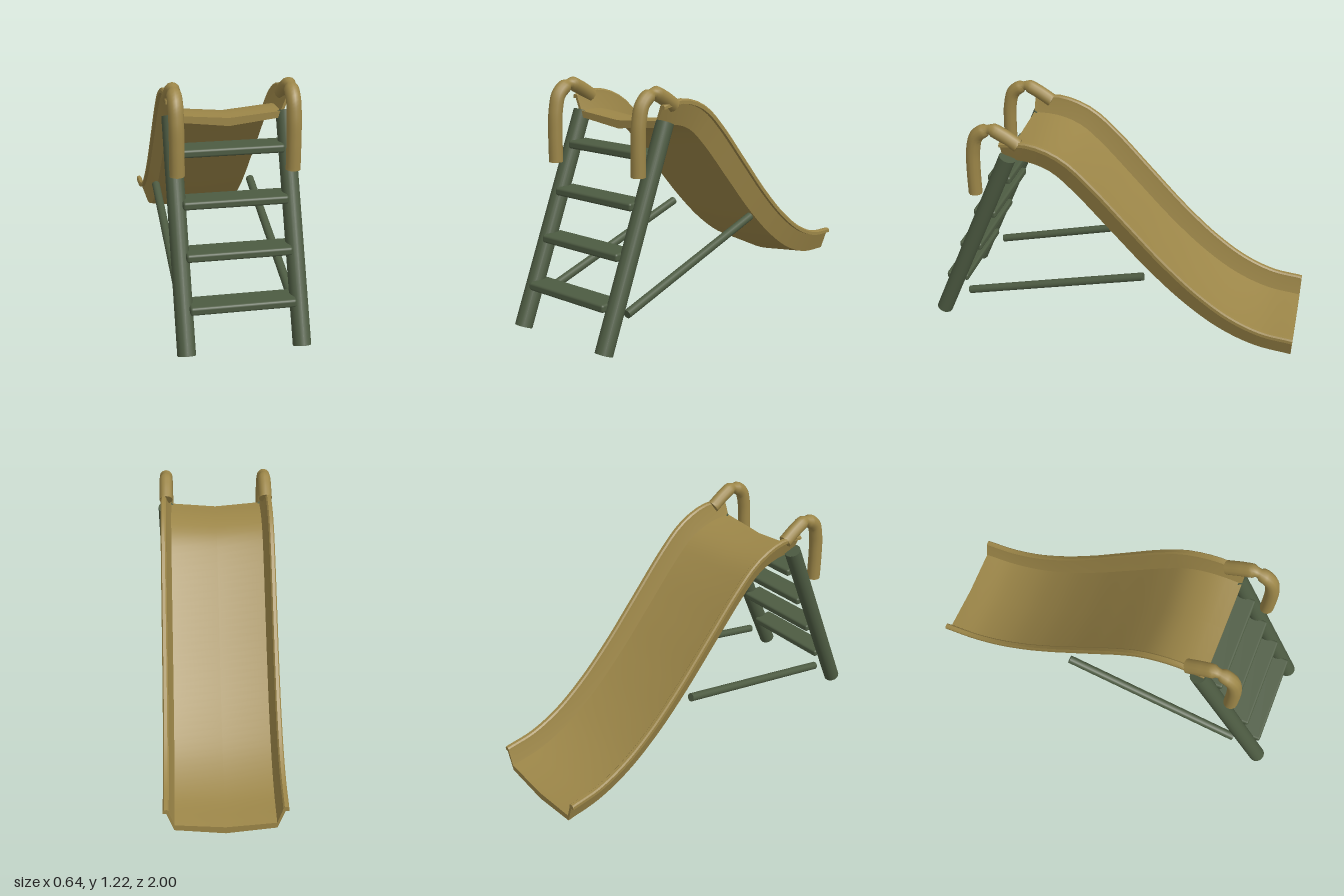
import * as THREE from 'three';
import { toCreasedNormals } from 'three/addons/utils/BufferGeometryUtils.js';
import { RoundedBoxGeometry } from 'three/addons/geometries/RoundedBoxGeometry.js';

const gold = new THREE.MeshStandardMaterial({ color: 0x9c8648 });
gold.name = 'ochre plastic';
const green = new THREE.MeshStandardMaterial({ color: 0x4d5b42 });
green.name = 'dark green';

// Sweeps a closed section (x, n), counter-clockwise, along a path of [z, y] points.
// section(u) may vary along the path; level makes both ends upright.
function sweep(path, section, steps, level, crease) {
  const curve = new THREE.CatmullRomCurve3(path.map(([z, y]) => new THREE.Vector3(0, y, z)));
  const rings = [];
  for (let i = 0; i <= steps; i++) {
    const u = i / steps;
    const p = curve.getPointAt(u);
    const t = curve.getTangentAt(u);
    if (level && (i === 0 || i === steps)) t.set(0, 0, -1);
    const n = new THREE.Vector3(1, 0, 0).cross(t);
    rings.push(section(u).map(([x, h]) => p.clone().addScaledVector(n, h).setX(x)));
  }
  const verts = [];
  const tri = (...corners) => corners.forEach((c) => verts.push(c.x, c.y, c.z));
  const count = rings[0].length;
  for (let i = 0; i < steps; i++) {
    for (let j = 0; j < count; j++) {
      const k = (j + 1) % count;
      const a = rings[i][j], b = rings[i][k], c = rings[i + 1][j], d = rings[i + 1][k];
      tri(a, c, b);
      tri(b, c, d);
    }
  }
  // end caps
  const outline = section(0).map(([x, h]) => new THREE.Vector2(x, h));
  for (const [a, b, c] of THREE.ShapeUtils.triangulateShape(outline, [])) {
    const s = rings[0], e = rings[steps];
    tri(s[a], s[b], s[c]);
    tri(e[a], e[c], e[b]);
  }
  const geo = new THREE.BufferGeometry();
  geo.setAttribute('position', new THREE.Float32BufferAttribute(verts, 3));
  return toCreasedNormals(geo, crease);
}

// Round bar between two [z, y] points
function bar([z0, y0], [z1, y1], radius) {
  const length = Math.hypot(z1 - z0, y1 - y0);
  return new THREE.CylinderGeometry(radius, radius, length, 16)
    .rotateX(Math.atan2(z1 - z0, y1 - y0))
    .translate(0, (y0 + y1) / 2, (z0 + z1) / 2);
}

export function createModel() {
  const model = new THREE.Group();
  const add = (name, geometry, material, x = 0) => {
    const mesh = new THREE.Mesh(geometry, material);
    mesh.name = name;
    mesh.position.x = x;
    model.add(mesh);
  };

  // Chute: shallow V bed, leaning walls and a lip along the top of each wall
  const half = [
    [0.25, 0.03], [0.286, 0.138], [0.303, 0.138], [0.303, 0.155], [0.297, 0.163],
    [0.281, 0.163], [0.274, 0.155], [0.271, 0.138], [0.248, 0.062],
  ];
  const chuteSection = (u) => {
    const s = 0.78 + 0.22 * Math.min(1, u / 0.07); // walls start lower at the platform
    const right = half.map(([x, h]) => [x, h > 0.07 ? 0.062 + (h - 0.062) * s : h]);
    const left = right.map(([x, h]) => [-x, h]).reverse();
    return [[0, 0], ...right, [0, 0.04], ...left];
  };
  const chutePath = [
    [0.545, 0.99], [0.42, 0.988], [0.31, 0.952], [0.2, 0.86], [0, 0.65],
    [-0.2, 0.44], [-0.4, 0.26], [-0.6, 0.125], [-0.8, 0.047], [-1, 0.023],
  ];
  add('slideChute', sweep(chutePath, chuteSection, 48, true, 0.35), gold);

  // Handle: bent tube pinched at the joint over the top
  const handlePath = [
    [0.703, 0.813], [0.702, 0.95], [0.694, 1.07], [0.668, 1.15],
    [0.595, 1.192], [0.53, 1.168], [0.45, 1.12],
  ];
  const handleSection = (u) => {
    const r = 0.036 - 0.014 * Math.exp(-(((u - 0.71) / 0.025) ** 2));
    return Array.from({ length: 12 }, (_, i) => {
      const a = (i / 12) * Math.PI * 2;
      return [r * Math.cos(a), r * Math.sin(a)];
    });
  };
  const handle = sweep(handlePath, handleSection, 40, false, 0.9);

  // Side parts, mirrored left and right
  const post = bar([0.957, 0.018], [0.512, 1.045], 0.044);
  const brace = bar([0.79, 0.165], [-0.2, 0.43], 0.022);
  for (const [side, s] of [['left', 1], ['right', -1]]) {
    add(side + 'Post', post, green, 0.276 * s);
    add(side + 'Brace', brace, green, 0.27 * s);
    add(side + 'Handle', handle, gold, 0.275 * s);
  }

  // Ladder steps
  const step = new RoundedBoxGeometry(0.505, 0.04, 0.125, 2, 0.012);
  for (let i = 0; i < 4; i++) {
    const tread = step.clone().translate(0, 0.226 + i * 0.222, 0.872 - i * 0.098);
    add('step' + (i + 1), tread, green);
  }
  return model;
}
